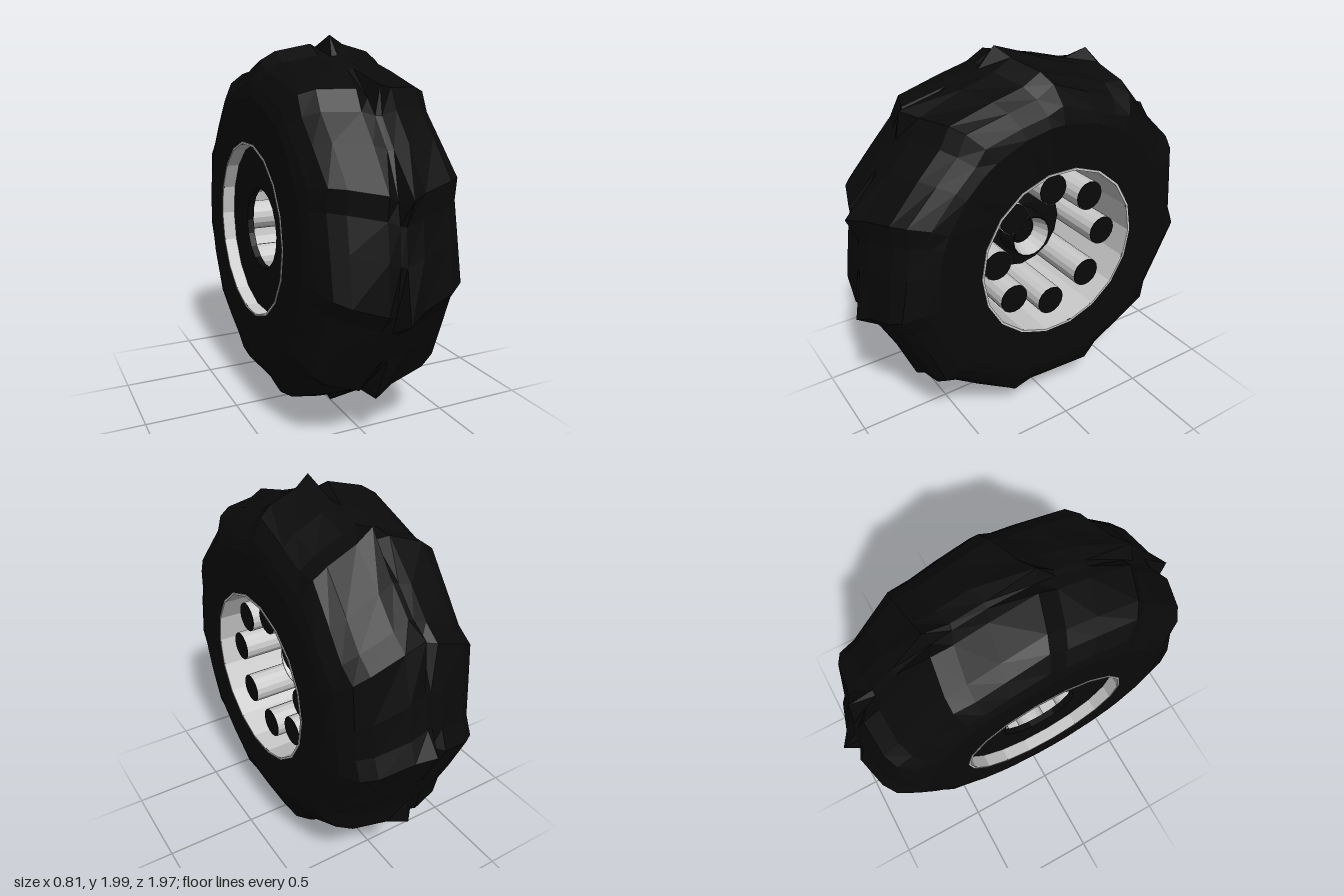
import * as THREE from 'three';

const rad = THREE.MathUtils.degToRad;
const rubber = new THREE.MeshStandardMaterial({ color: 0x0a0a0a, flatShading: true, side: THREE.DoubleSide });
const metal = new THREE.MeshStandardMaterial({ color: 0xcccccc, flatShading: true, side: THREE.DoubleSide });

// Cross-section columns: [x, groove radius, lug radius, chevron sweep in degrees]
const half = [
  [0.09, 0.915, 0.955, 2], [0.26, 0.87, 0.915, 5], [0.33, 0.82, 0.87, 6.5],
  [0.38, 0.745, 0.775, 8], [0.4, 0.69, 0.69, 8], [0.4, 0.452, 0.452, 8],
];
const columns = [
  ...half.map(([x, ...rest]) => [-x, ...rest]).reverse(),
  [-0.03, 0.915, 0.92, 0.5],
  [0, 0.92, 1.003, 0],
  ...half,
];

// Tyre skin: 11 chevron lugs, each with a steep leading face and a long trailing slope
function tyreGeometry() {
  const lugs = 11, pitch = 360 / lugs;
  const steps = [[-6.5, 0], [0, 1], [15, 0]]; // angle from crest, lug height
  const positions = [], index = [];
  const n = columns.length, rings = lugs * steps.length;
  for (let lug = 0; lug < lugs; lug++) {
    for (const [offset, height] of steps) {
      for (const [x, low, high, sweep] of columns) {
        const a = rad(-7.4 + lug * pitch + offset + sweep);
        const r = low + (high - low) * height;
        positions.push(x, r * Math.cos(a), -r * Math.sin(a));
      }
    }
  }
  for (let i = 0; i < rings; i++) {
    const p = i * n, q = ((i + 1) % rings) * n;
    for (let j = 0; j < n - 1; j++) {
      index.push(p + j, p + j + 1, q + j + 1, p + j, q + j + 1, q + j);
    }
  }
  const g = new THREE.BufferGeometry();
  g.setAttribute('position', new THREE.Float32BufferAttribute(positions, 3));
  g.setIndex(index);
  g.computeVertexNormals();
  return g;
}

// Turned part around the x axis from [radius, x] points
function turned(name, points, sides, material) {
  const g = new THREE.LatheGeometry(points.map(([r, x]) => new THREE.Vector2(r, x)), sides);
  g.rotateZ(-Math.PI / 2);
  const mesh = new THREE.Mesh(g, material);
  mesh.name = name;
  return mesh;
}

export function createModel() {
  const wheel = new THREE.Group();
  wheel.name = 'wheel';
  wheel.position.y = 1;

  const tyre = new THREE.Mesh(tyreGeometry(), rubber);
  tyre.name = 'tyre';
  wheel.add(tyre);

  // Rim barrel with a thin lip on each side
  wheel.add(turned('rimBarrel', [
    [0.463, -0.4], [0.463, -0.404], [0.452, -0.404],
    [0.452, 0.404], [0.463, 0.404], [0.463, 0.4],
  ], 18, metal));

  // Inner disc with a wide central hole
  wheel.add(turned('rimDisc', [
    [0.215, -0.335], [0.45, -0.335], [0.45, -0.3], [0.215, -0.3], [0.215, -0.335],
  ], 18, rubber));

  // Eight long posts with dark end caps
  for (let i = 0; i < 8; i++) {
    const a = i * Math.PI / 4;
    const post = new THREE.Group();
    post.name = 'post';
    post.add(turned('postBody', [[0.081, -0.3], [0.081, 0.33]], 16, metal));
    post.add(turned('postCap', [[0, 0.332], [0.078, 0.332], [0.078, 0.32]], 16, rubber));
    post.position.set(0, 0.33 * Math.cos(a), 0.33 * Math.sin(a));
    wheel.add(post);
  }

  // Hub plate between the posts
  wheel.add(turned('hubPlate', [
    [0, -0.02], [0.24, -0.02], [0.24, 0.05], [0.15, 0.07], [0, 0.07],
  ], 16, rubber));

  // Axle socket: dark sleeve, bright tapered bore, dark plug
  const socket = new THREE.Group();
  socket.name = 'axleSocket';
  socket.add(turned('sleeve', [[0.13, 0.06], [0.115, 0.18], [0.11, 0.18]], 18, rubber));
  socket.add(turned('bore', [[0.11, 0.18], [0.08, 0.08]], 18, metal));
  socket.add(turned('plug', [[0, 0.09], [0.066, 0.09], [0.08, 0.08]], 18, rubber));
  socket.position.z = 0.025;
  wheel.add(socket);

  const model = new THREE.Group();
  model.name = 'offRoadWheel';
  model.add(wheel);
  return model;
}
